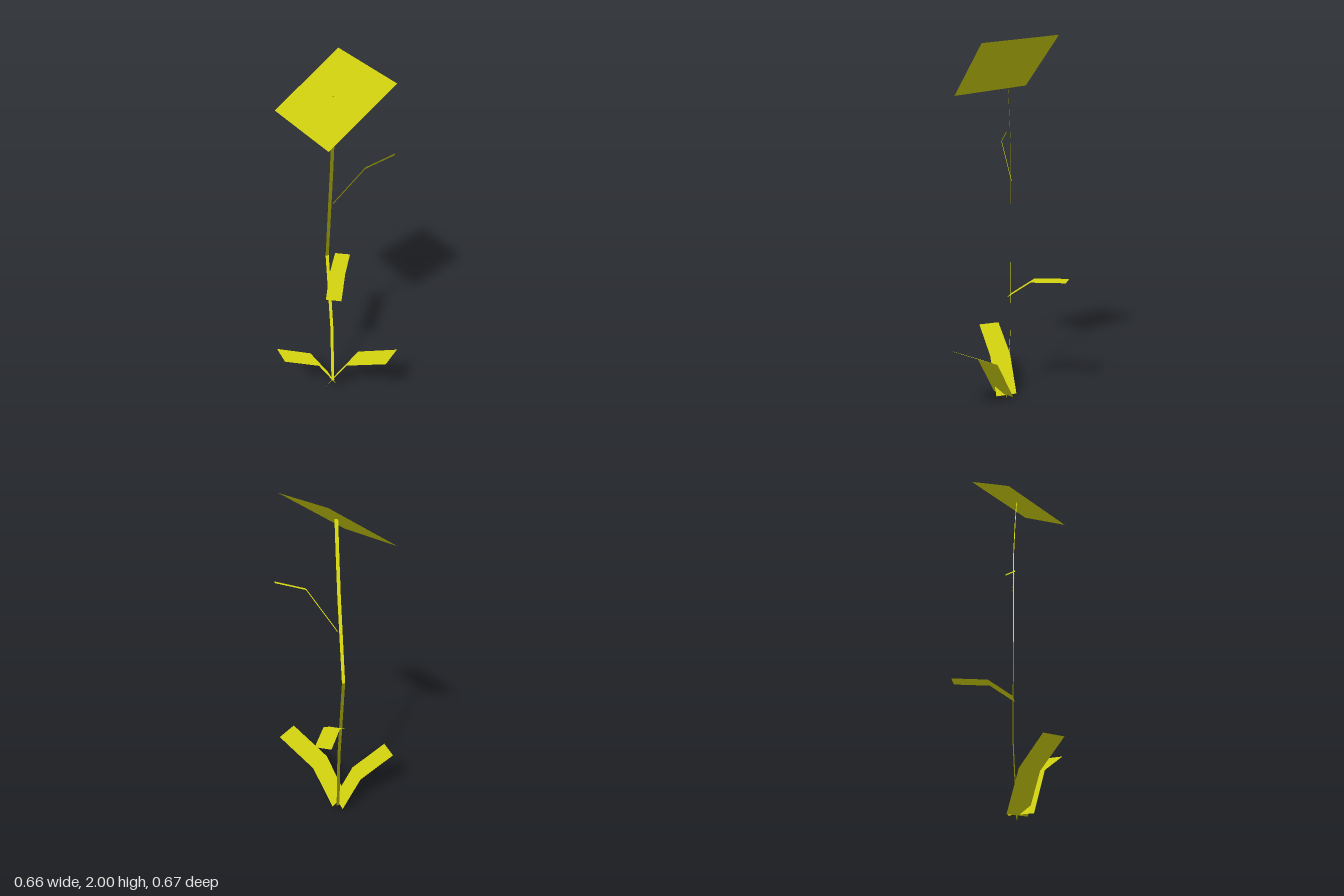
import * as THREE from 'three';

const yellow = new THREE.MeshStandardMaterial({ color: 0xd2d210, side: THREE.DoubleSide });
yellow.name = 'plant yellow';

// Flat strip: each row is a centre point, spread to both sides by the half-width vector.
// Normals point straight up so the thin foliage is shaded evenly.
function ribbon(name, centres, half) {
  const pos = [], index = [];
  const w = new THREE.Vector3(...half);
  centres.forEach((c, i) => {
    const p = new THREE.Vector3(...c);
    pos.push(...p.clone().sub(w).toArray(), ...p.clone().add(w).toArray());
    if (i > 0) {
      const a = 2 * i - 2;
      index.push(a, a + 1, a + 3, a, a + 3, a + 2);
    }
  });
  const geometry = new THREE.BufferGeometry();
  geometry.setAttribute('position', new THREE.Float32BufferAttribute(pos, 3));
  const up = pos.map((_, i) => (i % 3 === 1 ? 1 : 0));
  geometry.setAttribute('normal', new THREE.Float32BufferAttribute(up, 3));
  geometry.setIndex(index);
  const mesh = new THREE.Mesh(geometry, yellow);
  mesh.name = name;
  return mesh;
}

export function createModel() {
  const plant = new THREE.Group();
  plant.name = 'flower';

  // Gently bent stem, a flat strip facing front and back
  plant.add(ribbon('stem', [
    [0.005, 0, 0], [0.003, 0.41, -0.022], [-0.022, 0.925, -0.027],
    [0.002, 1.45, -0.022], [0.009, 1.7, -0.01], [0.012, 1.852, 0],
  ], [0.009, 0, 0]));

  // Tilted square flower head
  plant.add(ribbon('flowerHead', [
    [-0.166, 1.7225, 0.071], [0.18, 1.9725, -0.06],
  ], [0.0955, -0.0275, 0.2]));

  // Two big leaves at the ground, folded once
  plant.add(ribbon('leftGroundLeaf', [
    [-0.004, 0.025, 0.017], [0.1, 0.265, 0.112], [0.2845, 0.395, 0.28],
  ], [-0.0475, 0, 0.052]));
  plant.add(ribbon('rightGroundLeaf', [
    [0, 0.02, 0], [-0.112, 0.22, 0.028], [-0.318, 0.34, 0.0815],
  ], [-0.015, 0, -0.0585]));

  // Small leaf on the back of the stem
  plant.add(ribbon('backLeaf', [
    [0.012, 0.615, -0.014], [0.06, 0.71, -0.138], [0.1295, 0.722, -0.3185],
  ], [0.0425, 0, 0.0165]));

  // Thin upright leaf near the top, standing on edge
  plant.add(ribbon('upperLeaf', [
    [0.01, 1.25, -0.026], [0.163, 1.474, 0.038], [0.32, 1.53, 0.024],
  ], [0, 0.0045, 0]));

  return plant;
}
